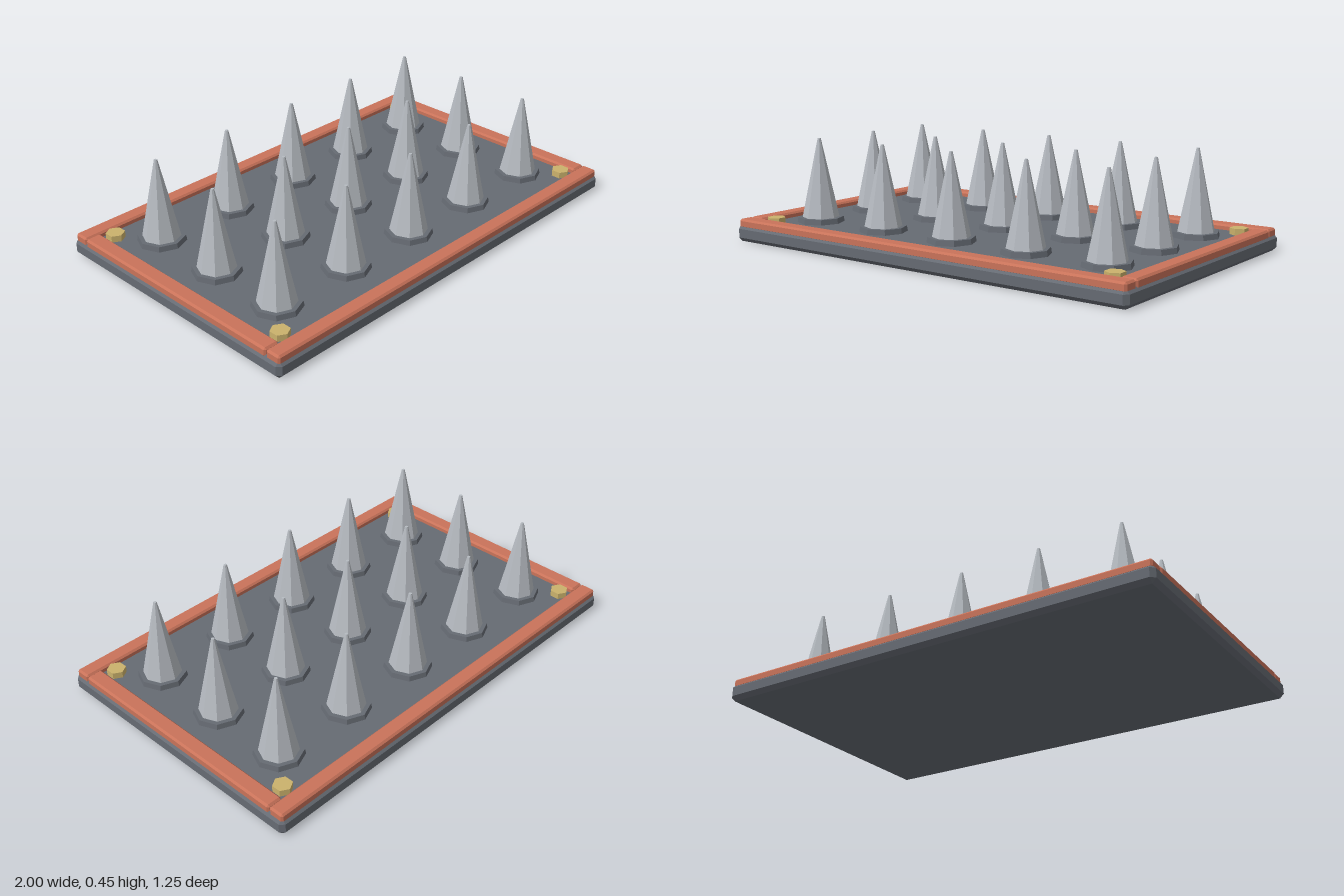
import * as THREE from 'three';
import { ConvexGeometry } from 'three/addons/geometries/ConvexGeometry.js';

const material = (name, color) => {
  const m = new THREE.MeshStandardMaterial({ color, flatShading: true });
  m.name = name;
  return m;
};

// Box with every edge cut at 45 degrees
function chamferBox(w, h, d, c) {
  const points = [];
  for (const x of [-1, 1]) for (const y of [-1, 1]) for (const z of [-1, 1]) {
    const [X, Y, Z] = [x * w / 2, y * h / 2, z * d / 2];
    points.push(
      new THREE.Vector3(X, Y - y * c, Z - z * c),
      new THREE.Vector3(X - x * c, Y, Z - z * c),
      new THREE.Vector3(X - x * c, Y - y * c, Z)
    );
  }
  return new ConvexGeometry(points);
}

export function createModel() {
  const model = new THREE.Group();
  model.name = 'spikeTrap';

  const iron = material('dark iron', 0x666b73);
  const rust = material('rust red', 0xc9735a);
  const steel = material('pale steel', 0xb6bbc1);
  const brass = material('brass', 0xcbb26c);

  const add = (name, geometry, mat, x, y, z) => {
    const mesh = new THREE.Mesh(geometry, mat);
    mesh.name = name;
    mesh.position.set(x, y, z);
    model.add(mesh);
  };

  // Base slab
  add('basePlate', chamferBox(2, 0.075, 1.25, 0.018), iron, 0, 0.0375, 0);

  // Raised border
  const longRail = chamferBox(1.98, 0.04, 0.07, 0.008);
  const shortRail = chamferBox(0.07, 0.04, 1.09, 0.008);
  for (const s of [-1, 1]) {
    add('longRail', longRail, rust, 0, 0.079, s * 0.581);
    add('shortRail', shortRail, rust, s * 0.957, 0.079, 0);
  }

  // Spikes in their collars
  const collar = new THREE.CylinderGeometry(0.1, 0.105, 0.03, 8);
  const spike = new THREE.CylinderGeometry(0.007, 0.085, 0.37, 8);
  for (let i = -2; i <= 2; i++) {
    for (let j = -1; j <= 1; j++) {
      add('spikeCollar', collar, iron, i * 0.375, 0.083, j * 0.35);
      add('spike', spike, steel, i * 0.375, 0.264, j * 0.35);
    }
  }

  // Corner bolts
  const bolt = new THREE.CylinderGeometry(0.04, 0.04, 0.034, 6);
  for (const x of [-1, 1]) for (const z of [-1, 1]) {
    add('cornerBolt', bolt, brass, x * 0.875, 0.086, z * 0.5);
  }

  return model;
}
